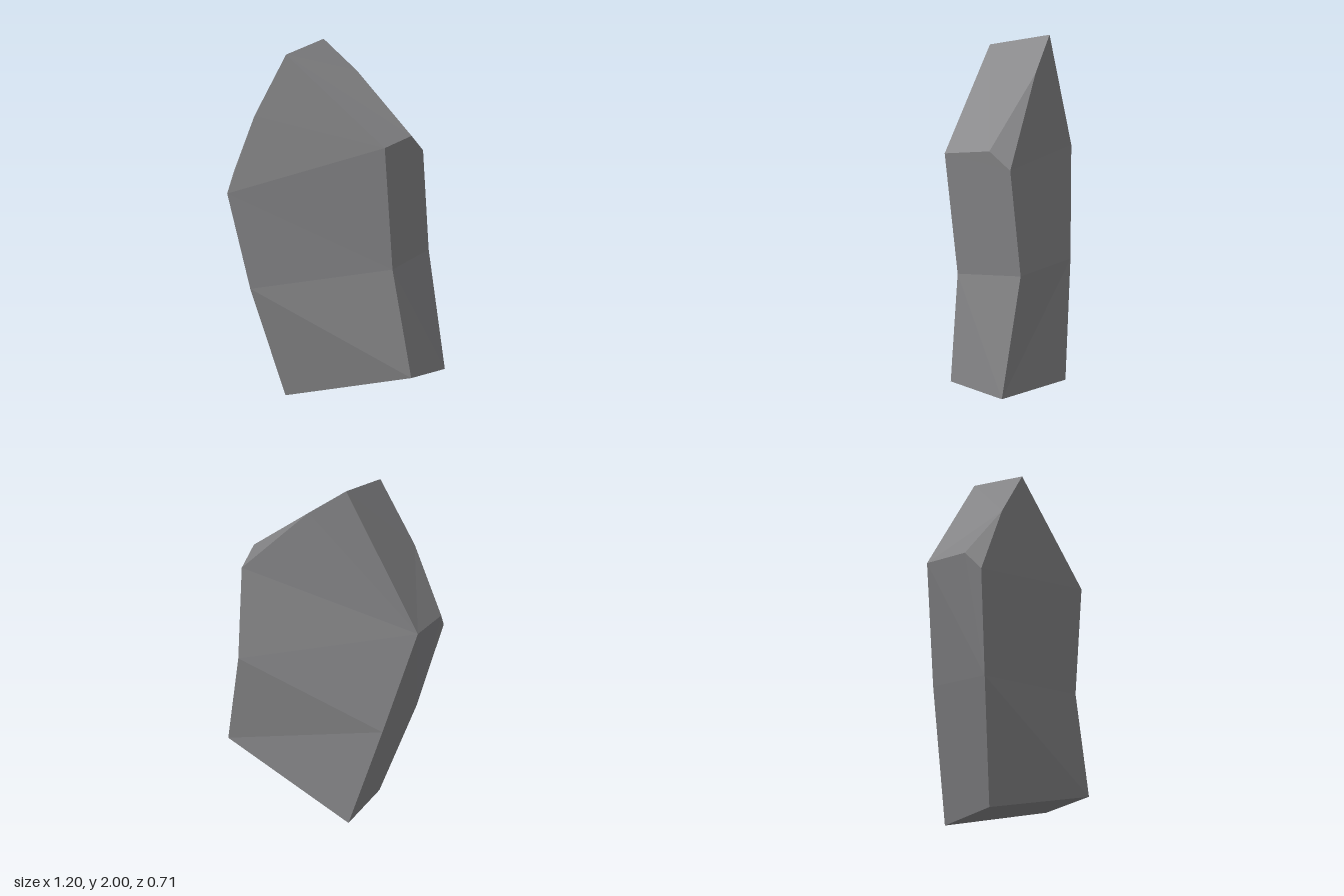
import * as THREE from 'three';

// Corners of the slab: capitals on the front, small letters on the back
const corners = {
  A: [-0.29, 0.03, -0.05], a: [-0.125, 0, -0.31],
  B: [0.435, 0.285, 0.345], b: [0.6, 0.26, 0.085],
  C: [0.33, 0.845, 0.3], c: [0.5, 0.89, -0.015],
  D: [0.29, 1.475, 0.355], d: [0.465, 1.43, 0.035],
  E: [-0.245, 1.925, 0.11], e: [-0.09, 2, -0.195],
  G: [-0.6, 1.17, -0.035], g: [-0.46, 1.31, -0.355],
  H: [-0.48, 0.64, -0.038], h: [-0.3, 0.68, -0.345],
  // extra corners where the edges are chipped
  F: [-0.43, 1.6, 0.035], J: [-0.58, 1.28, -0.125],
  K: [0.41, 1.515, 0.135], k: [0.1, 1.835, -0.11],
};

// Each facet lists its corners counter-clockwise as seen from outside
const facets = [
  'HAB', 'HBC', 'GHC', 'GCD', 'DEFG', // front
  'hba', 'hcb', 'gch', 'gdc', 'gekd', // back
  'BAab', 'CBbc', 'DCcdK', // underside and +x side
  'EDKke', 'FEegJ', // sloping top
  'HGJgh', 'AHha', // -x side
  'GFJ', 'Kdk', // chipped edges
];

// Splits every facet into a fan of flat triangles
function facetGeometry() {
  const positions = [];
  for (const f of facets) {
    for (let i = 1; i < f.length - 1; i++) {
      positions.push(...corners[f[0]], ...corners[f[i]], ...corners[f[i + 1]]);
    }
  }
  const geometry = new THREE.BufferGeometry();
  geometry.setAttribute('position', new THREE.Float32BufferAttribute(positions, 3));
  geometry.computeVertexNormals();
  return geometry;
}

export function createModel() {
  const stone = new THREE.MeshStandardMaterial({ color: 0x808082, flatShading: true });
  stone.name = 'grey stone';
  const rock = new THREE.Mesh(facetGeometry(), stone);
  rock.name = 'rockSlab';
  const group = new THREE.Group();
  group.name = 'rock';
  group.add(rock);
  return group;
}
